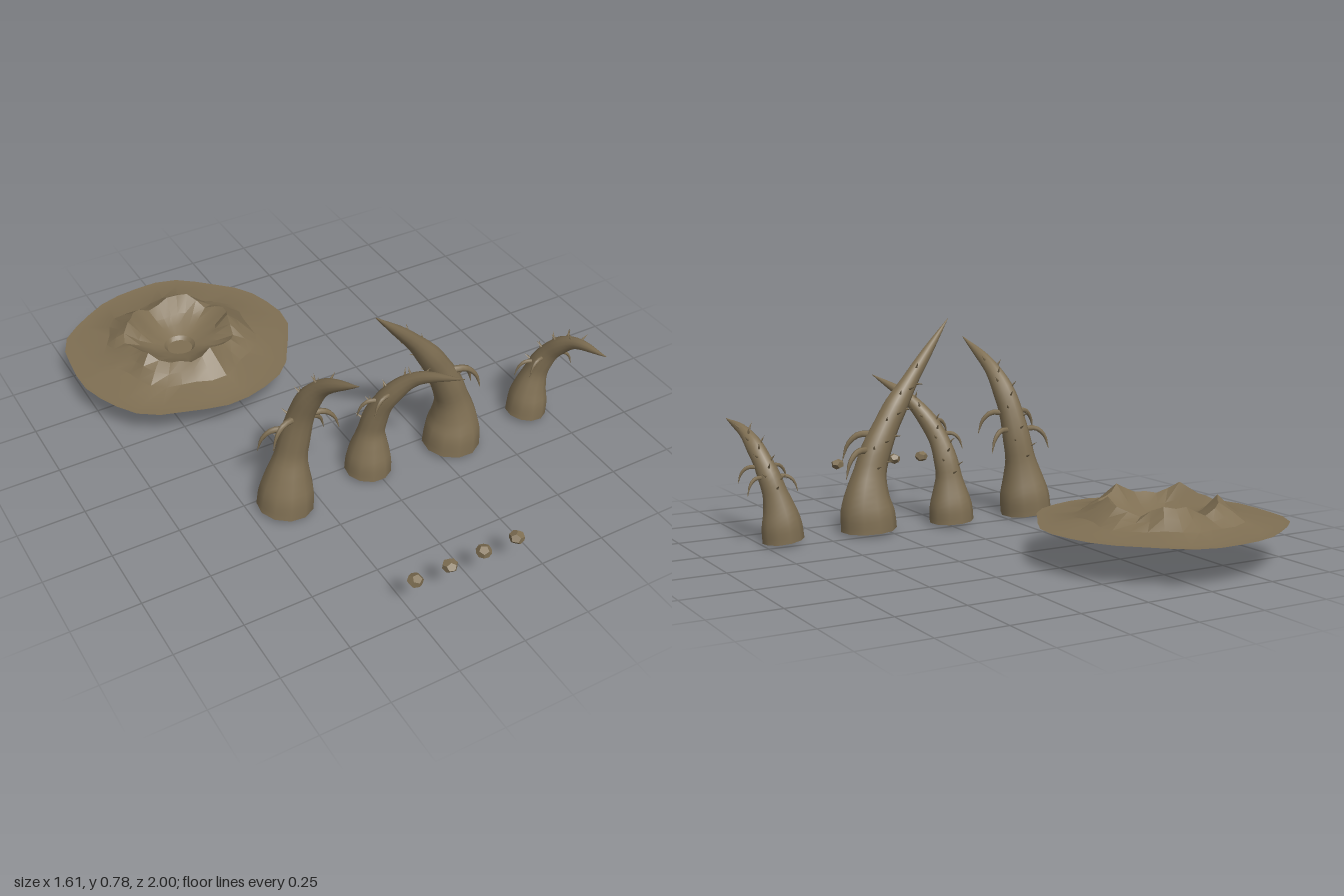
import * as THREE from 'three';
import { toCreasedNormals } from 'three/addons/utils/BufferGeometryUtils.js';

const V = (x, y, z) => new THREE.Vector3(x, y, z);

// Skin a list of equal-length closed rings
function loft(rings) {
  const n = rings[0].length, index = [];
  for (let i = 0; i < rings.length - 1; i++) {
    for (let j = 0; j < n; j++) {
      const a = i * n + j, b = i * n + (j + 1) % n;
      index.push(a, b, b + n, a, b + n, a + n);
    }
  }
  const geo = new THREE.BufferGeometry().setFromPoints(rings.flat());
  geo.setIndex(index);
  geo.computeVertexNormals();
  return geo;
}

// Tapered spine: at(t) gives centre, frame and radius; radii are spread evenly along it
function makeSpine(points, radii, scale) {
  const path = new THREE.CatmullRomCurve3(points);
  const taper = new THREE.CatmullRomCurve3(radii.map(r => V(r * scale, 0, 0)), false, 'catmullrom', 0.5);
  return t => {
    const tangent = path.getTangent(t);
    const back = V(0, 0, -1).addScaledVector(tangent, tangent.z).normalize();
    const side = tangent.clone().cross(back);
    return { c: path.getPoint(t), r: Math.max(taper.getPoint(t).x, 0.001), tangent, back, side };
  };
}

function taperedTube(at, steps, sides) {
  const rings = [];
  for (let i = 0; i <= steps; i++) {
    const f = at(i / steps), ring = [];
    for (let j = 0; j < sides; j++) {
      const a = j / sides * Math.PI * 2;
      ring.push(f.c.clone()
        .addScaledVector(f.back, f.r * Math.cos(a))
        .addScaledVector(f.side, f.r * Math.sin(a)));
    }
    rings.push(ring);
  }
  return loft(rings);
}

// All tentacles share one taper, from flared base past a knuckle to the tip
const BODY_TAPER = [1, .96, .77, .59, .54, .46, .42, .31, .2, .01];
const CLAW_TAPER = [.14, .12, .08, .01];

// path: spine points; claws: sides that carry them; clawAt: place on the spine; reach: claw length
function makeTentacle({ path, base, claws, clawAt, reach }, material) {
  const group = new THREE.Group();
  group.name = 'tentacle';
  const add = (name, geo) => {
    const mesh = new THREE.Mesh(geo, material);
    mesh.name = name;
    group.add(mesh);
    return mesh;
  };
  const at = makeSpine(path, BODY_TAPER, base);
  add('tentacleBody', taperedTube(at, 27, 11));

  // Curved claws that arch outwards and droop
  for (const s of claws) {
    for (const k of [0, 1]) {
      const f = at(clawAt + 0.05 - k * 0.07);
      const out = V(s, 0, k ? -0.35 : 0.3).normalize();
      const point = (o, drop) => f.c.clone().addScaledVector(out, o).add(V(0, -drop * reach, 0));
      const curve = [point(f.r * 0.7, 0), point(f.r + reach * 0.4, 0),
        point(f.r + reach * 0.8, 0.35), point(f.r + reach, 0.95)];
      add('claw', taperedTube(makeSpine(curve, CLAW_TAPER, reach), 8, 6));
    }
  }

  // Thorns in a zigzag along the back
  for (let i = 0; i < 12; i++) {
    const f = at(0.33 + i * 0.045);
    const angle = [0, 0.7, -0.6][i % 3], length = 0.035;
    const dir = f.back.clone().multiplyScalar(Math.cos(angle))
      .addScaledVector(f.side, Math.sin(angle)).addScaledVector(f.tangent, 0.35).normalize();
    const thorn = add('thorn', new THREE.ConeGeometry(0.006, length, 5));
    thorn.quaternion.setFromUnitVectors(V(0, 1, 0), dir);
    thorn.position.copy(f.c).addScaledVector(dir, f.r + length * 0.3);
  }
  return group;
}

// Crater: concentric rings [radius, height, share of the ridge], roughened around the rim
function makeCrater(material) {
  const profile = [[.001, .118, 0], [.048, .118, 0], [.06, .132, 0], [.105, .142, .1], [.15, .148, .35],
    [.205, .148, 1], [.245, .146, .62], [.29, .142, .22], [.39, .137, 0], [.435, .137, 0]];
  const sides = 32;
  const rings = profile.map(([r, y, ridge], i) => {
    const ring = [];
    for (let j = 0; j < sides; j++) {
      const a = j / sides * Math.PI * 2;
      const rough = 0.062 + 0.018 * Math.sin(5 * a + 1) + 0.008 * Math.sin(11 * a + i);
      const wobble = 1 + (r > 0.3 ? 0.02 * Math.sin(5 * a + 2) + 0.012 * Math.sin(9 * a)
        : r > 0.12 ? 0.05 * Math.sin(7 * a + i * 0.6) : 0);
      ring.push(V(r * wobble * Math.cos(a), y + ridge * rough, r * wobble * Math.sin(a)));
    }
    return ring;
  });
  const crater = new THREE.Mesh(toCreasedNormals(loft(rings), 0.35), material);
  crater.name = 'crater';
  crater.position.set(-.367, 0, -.565);
  return crater;
}

export function createModel() {
  const model = new THREE.Group();
  model.name = 'tentaclesAndCrater';
  const hide = new THREE.MeshStandardMaterial({ color: 0x7f6f53, side: THREE.DoubleSide });
  hide.name = 'muddyBrown';

  model.add(makeCrater(hide));

  // Tall tentacle, bending forwards
  model.add(makeTentacle({
    path: [V(-.372, .01, .32), V(-.357, .138, .318), V(-.335, .27, .318),
      V(-.307, .45, .355), V(-.281, .575, .436), V(-.25, .69, .615)],
    base: .102, claws: [-1, 1], clawAt: .5, reach: .085,
  }, hide));

  // Slim tentacle, bending forwards and to its left
  model.add(makeTentacle({
    path: [V(-.022, .012, .3), V(-.016, .12, .3), V(-.007, .222, .306),
      V(.017, .346, .35), V(.082, .47, .434), V(.16, .557, .61)],
    base: .086, claws: [-1], clawAt: .62, reach: .065,
  }, hide));

  // Tallest tentacle, leaning across to its right
  model.add(makeTentacle({
    path: [V(.323, .012, .32), V(.328, .138, .32), V(.298, .274, .326),
      V(.22, .426, .337), V(.12, .562, .36), V(-.08, .78, .43)],
    base: .107, claws: [1], clawAt: .47, reach: .1,
  }, hide));

  // Short tentacle with a drooping tip
  model.add(makeTentacle({
    path: [V(.67, .012, .31), V(.682, .12, .31), V(.706, .226, .324),
      V(.731, .32, .371), V(.75, .391, .456), V(.765, .427, .615)],
    base: .077, claws: [-1, 1], clawAt: .46, reach: .06,
  }, hide));

  // Row of small rocks
  for (let i = 0; i < 4; i++) {
    const geo = toCreasedNormals(new THREE.DodecahedronGeometry(0.028, 0), 0.1);
    const rock = new THREE.Mesh(geo, hide);
    rock.name = 'rock';
    rock.scale.set(1, 0.8, 1);
    rock.rotation.y = i * 1.3;
    rock.position.set(-.243 + i * .132, .144, .97);
    model.add(rock);
  }
  return model;
}
